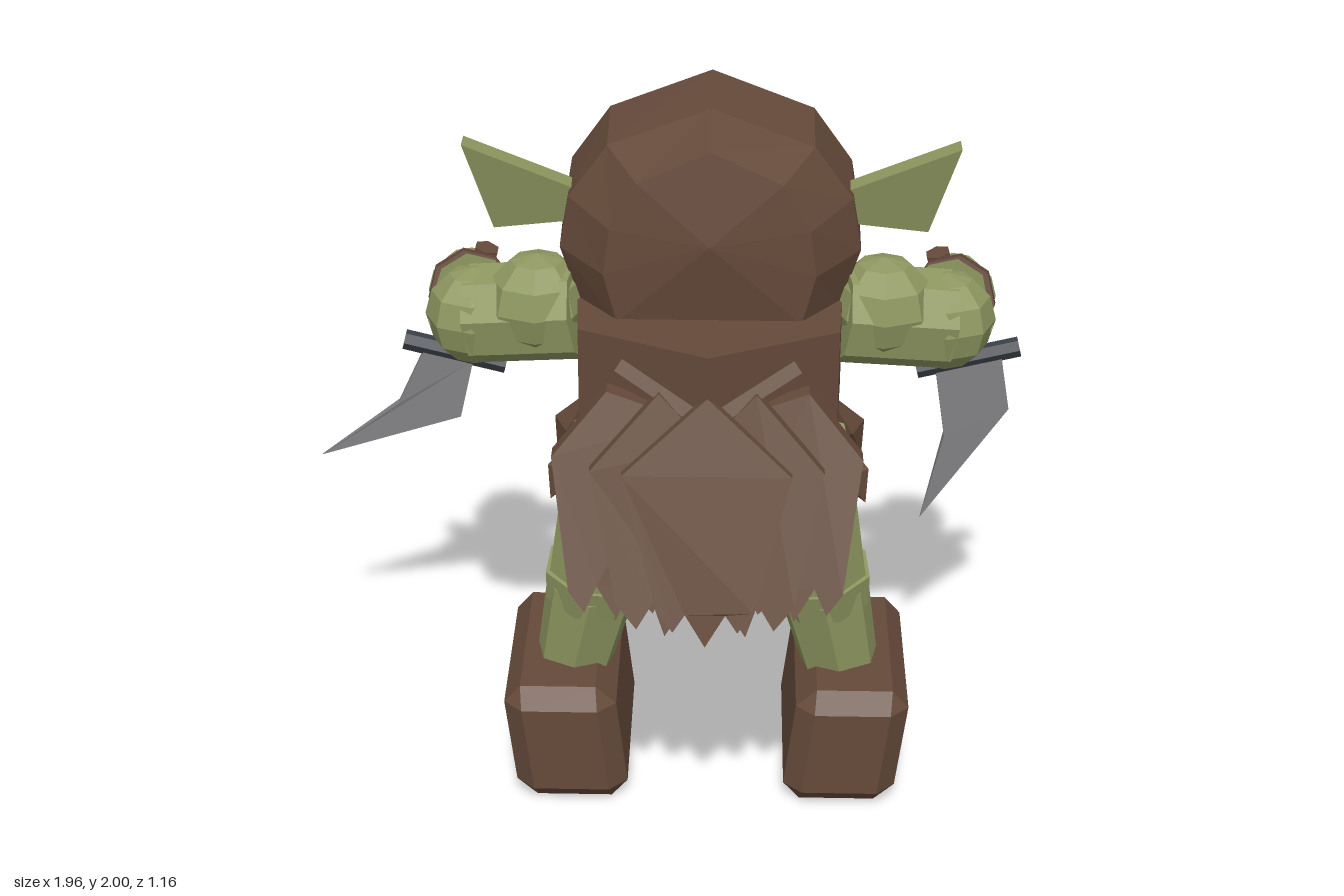
import * as THREE from 'three';
import { ConvexGeometry } from 'three/addons/geometries/ConvexGeometry.js';

const mat = (name, color) => {
  const m = new THREE.MeshStandardMaterial({ color, flatShading: true });
  m.name = name;
  return m;
};
const V = (x, y, z) => new THREE.Vector3(x, y, z);

export function createModel() {
  const leather = mat('brown leather', 0x654a3a);
  const skin = mat('green skin', 0x8f9861);
  const steel = mat('grey steel', 0x828285);
  const iron = mat('dark iron', 0x3b4049);

  const root = new THREE.Group();
  const body = new THREE.Group();
  body.name = 'body';
  body.position.x = 0.12;
  root.add(body);

  const add = (name, geo, m) => {
    const mesh = new THREE.Mesh(geo, m);
    mesh.name = name;
    body.add(mesh);
    return mesh;
  };

  // Tapered rod between two points
  const limb = (name, p, q, r1, r2, sides, m) => {
    const d = q.clone().sub(p);
    const mesh = add(name, new THREE.CylinderGeometry(r2, r1, d.length(), sides), m);
    mesh.position.copy(p).add(q).multiplyScalar(0.5);
    mesh.quaternion.setFromUnitVectors(V(0, 1, 0), d.normalize());
  };

  // Box with chamfered edges
  const chamferBox = (w, h, d, c) => {
    const pts = [];
    for (const x of [-1, 1]) for (const y of [-1, 1]) for (const z of [-1, 1]) {
      const X = x * w / 2, Y = y * h / 2, Z = z * d / 2;
      pts.push(V(X, Y - y * c, Z - z * c), V(X - x * c, Y, Z - z * c), V(X - x * c, Y - y * c, Z));
    }
    return new ConvexGeometry(pts);
  };

  // Plate from an outline, centred on z = 0, its depth reshaped by a rule
  const plate = (pts, depth, rule) => {
    const shape = new THREE.Shape(pts.map(([x, y]) => new THREE.Vector2(x, y)));
    const g = new THREE.ExtrudeGeometry(shape, { depth, bevelEnabled: false }).translate(0, 0, -depth / 2);
    const p = g.attributes.position;
    for (let i = 0; i < p.count; i++) p.setZ(i, rule(p.getX(i), p.getY(i), p.getZ(i)));
    g.computeVertexNormals();
    return g;
  };

  // Skin over a series of closed rings
  const loft = (rings) => {
    const n = rings[0].length, pos = [], idx = [];
    rings.flat().forEach((p) => pos.push(p.x, p.y, p.z));
    for (let i = 0; i < rings.length - 1; i++) for (let j = 0; j < n; j++) {
      const a = i * n + j, b = i * n + (j + 1) % n;
      idx.push(a, b, b + n, a, b + n, a + n);
    }
    const g = new THREE.BufferGeometry();
    g.setAttribute('position', new THREE.Float32BufferAttribute(pos, 3));
    g.setIndex(idx);
    g.computeVertexNormals();
    return g;
  };

  // Hood, hollow at the face
  const half = [[0.335, 1.47], [0.383, 1.62], [0.36, 1.76], [0.26, 1.9]];
  const outline = [...half, [0, 2], ...half.map(([x, y]) => [-x, y]).reverse()];
  const ring = (z, sx, sy) => outline.map(([x, y]) => V(x * sx, 1.47 + (y - 1.47) * sy, z));
  const point = (y, z) => outline.map(() => V(0, y, z));
  add('hood', loft([
    ring(-0.12, 0.8, 0.74), ring(-0.22, 0.83, 0.76), ring(-0.22, 1, 1),
    ring(0.03, 0.99, 0.975), ring(0.165, 0.69, 0.86), point(1.69, 0.205),
  ]), leather);
  add('face', loft([point(1.65, -0.19), ring(-0.18, 0.83, 0.76)]), skin);

  // Mask over the lower face
  add('mask', new ConvexGeometry([
    V(0.31, 1.62, -0.16), V(-0.31, 1.62, -0.16), V(0.28, 1.62, -0.22), V(-0.28, 1.62, -0.22),
    V(0, 1.62, -0.25), V(0.18, 1.5, -0.29), V(-0.18, 1.5, -0.29), V(0, 1.49, -0.365),
    V(0.29, 1.46, -0.22), V(-0.29, 1.46, -0.22), V(0, 1.43, -0.32),
  ]), leather);

  // Torso and belt, eight-sided
  const octagon = (y, k) => [
    [0, -0.43], [0.325, -0.27], [0.34, 0], [0.325, 0.27], [0, 0.43], [-0.325, 0.27], [-0.34, 0], [-0.325, -0.27],
  ].map(([x, z]) => V(x * k, y, z * k - 0.04));
  add('torso', new ConvexGeometry([...octagon(1.48, 1), ...octagon(1.21, 1)]), leather);
  add('waist', new ConvexGeometry([...octagon(1.215, 0.9), ...octagon(1.06, 0.9)]), leather);
  add('buckle', chamferBox(0.22, 0.18, 0.09, 0.02), steel).position.set(0, 1.135, -0.49);

  // Pointed skirt flaps around the waist: x, z, tip height, half width
  const flaps = [[0, 0.34, 0.84, 0.085], [0.2, 0.25, 0.81, 0.08], [0.335, 0.07, 0.93, 0.055],
    [0.335, -0.16, 0.93, 0.055], [0.23, -0.29, 0.8, 0.08], [0.08, -0.37, 0.82, 0.085]];
  for (const [x, z, tip, w] of flaps) for (const s of x ? [1, -1] : [1]) {
    const out = V(x * s, 0, z + 0.04).normalize(), across = V(out.z, 0, -out.x);
    const at = (o, a, y) => V(x * s, y, z).addScaledVector(out, o).addScaledVector(across, a);
    add('skirtFlap', new ConvexGeometry([
      at(-0.03, w * 0.6, 1.13), at(-0.03, -w * 0.6, 1.13), at(0.03, w, 1.02), at(0.03, -w, 1.02),
      at(0.085, 0, 1.03), at(-0.03, 0, 1), at(0.08, 0, tip),
    ]), leather);
  }

  // Serrated layered cape, leaning outward from the back
  const cape = (name, pts, depth, offset) => add(name, plate(pts, depth,
    (x, y, z) => z + 0.35 + offset + (1.36 - y) * (0.33 + 0.25 * Math.abs(x))), leather);
  const flip = (pts, s) => pts.map(([x, y]) => [x * s, y]);
  for (const s of [1, -1]) {
    cape('capeOuter', flip([[0.06, 1.3], [0.25, 1.36], [0.385, 1.21], [0.34, 0.9], [0.3, 0.85],
      [0.27, 0.91], [0.22, 0.83], [0.19, 0.9], [0.13, 0.84], [0.08, 0.95]], s), 0.05, -0.04);
    cape('capeMiddle', flip([[0, 1.25], [0.12, 1.37], [0.29, 1.19], [0.22, 0.88], [0.17, 0.82],
      [0.13, 0.88], [0.1, 0.8], [0.05, 0.87], [0.01, 0.82]], s), 0.035, 0);
  }
  cape('capeCentre', [[0, 1.37], [0.21, 1.19], [0.12, 0.87], [0.08, 0.82], [0.05, 0.86],
    [0, 0.78], [-0.05, 0.86], [-0.08, 0.82], [-0.12, 0.87], [-0.21, 1.19]], 0.035, 0.025);

  for (const s of [1, -1]) {
    // Eye and ear
    add('eye', chamferBox(0.065, 0.055, 0.06, 0.006), iron).position.set(s * 0.125, 1.695, -0.208);
    add('ear', plate(flip([[0.25, 1.76], [0.34, 1.76], [0.62, 1.885], [0.55, 1.64], [0.3, 1.67]], s), 0.065,
      (x, y, z) => z + (y - 1.9) * 0.25), skin);

    // Crossed straps on chest and back
    limb('chestStrap', V(s * 0.22, 1.42, -0.385), V(-s * 0.06, 1.26, -0.475), 0.025, 0.025, 4, leather);
    limb('backStrap', V(s * 0.22, 1.42, 0.305), V(-s * 0.06, 1.26, 0.395), 0.025, 0.025, 4, leather);

    // Arm
    const shoulder = V(s * 0.44, 1.45, 0), elbow = V(s * 0.605, 1.395, -0.045), wrist = V(s * 0.65, 1.305, -0.41);
    add('shoulder', new THREE.SphereGeometry(0.135, 8, 6), skin).position.copy(shoulder);
    limb('upperArm', V(s * 0.33, 1.435, 0.01), elbow, 0.13, 0.13, 8, skin);
    add('elbow', new THREE.SphereGeometry(0.13, 8, 6), skin).position.copy(elbow);
    limb('forearm', elbow, wrist, 0.125, 0.1, 8, skin);
    limb('bracelet', V(s * 0.648, 1.315, -0.355), V(s * 0.655, 1.3, -0.41), 0.115, 0.115, 8, leather);
    add('hand', new THREE.SphereGeometry(0.117, 8, 6), skin).position.set(s * 0.658, 1.275, -0.46);

    // Dagger grip and guard
    limb('daggerGrip', V(s * 0.7, 1.08, -0.48), V(s * 0.61, 1.405, -0.455), 0.035, 0.035, 6, leather);
    limb('daggerGuard', V(s * 0.57, 1.045, -0.48), V(s * 0.85, 1.115, -0.48), 0.028, 0.028, 6, iron);

    // Leg
    const knee = V(s * 0.312, 0.58, -0.09);
    limb('thigh', V(s * 0.24, 1.03, -0.04), knee, 0.14, 0.13, 7, skin);
    limb('kneeCuff', V(s * 0.308, 0.62, -0.085), V(s * 0.323, 0.53, -0.095), 0.142, 0.125, 7, skin);
    limb('calf', knee, V(s * 0.372, 0.3, -0.12), 0.13, 0.107, 7, skin);

    // Boot, leaning slightly outward
    const boot = chamferBox(0.305, 0.35, 0.603, 0.05);
    boot.applyMatrix4(new THREE.Matrix4().set(1, s * 0.12, 0, s * 0.382, 0, 1, 0, 0.175, 0, 0, 1, -0.156, 0, 0, 0, 1));
    add('boot', boot, leather);
  }

  // Bent blades, both hooking the same way and thinning to the tip (point 3)
  const blades = {
    leftBlade: [[0.62, 1.06], [0.8, 1.1], [0.83, 0.93], [0.6, 0.575], [0.655, 0.84]],
    rightBlade: [[-0.66, 1.06], [-0.79, 1.1], [-0.875, 0.92], [-1.1, 0.75], [-0.7, 0.885]],
  };
  for (const [name, pts] of Object.entries(blades)) {
    const [tx, ty] = pts[3];
    add(name, plate(pts, 0.045,
      (x, y, z) => z * (0.15 + 0.85 * Math.min(1, Math.hypot(x - tx, y - ty) / 0.4)) - 0.485), steel);
  }

  return root;
}
